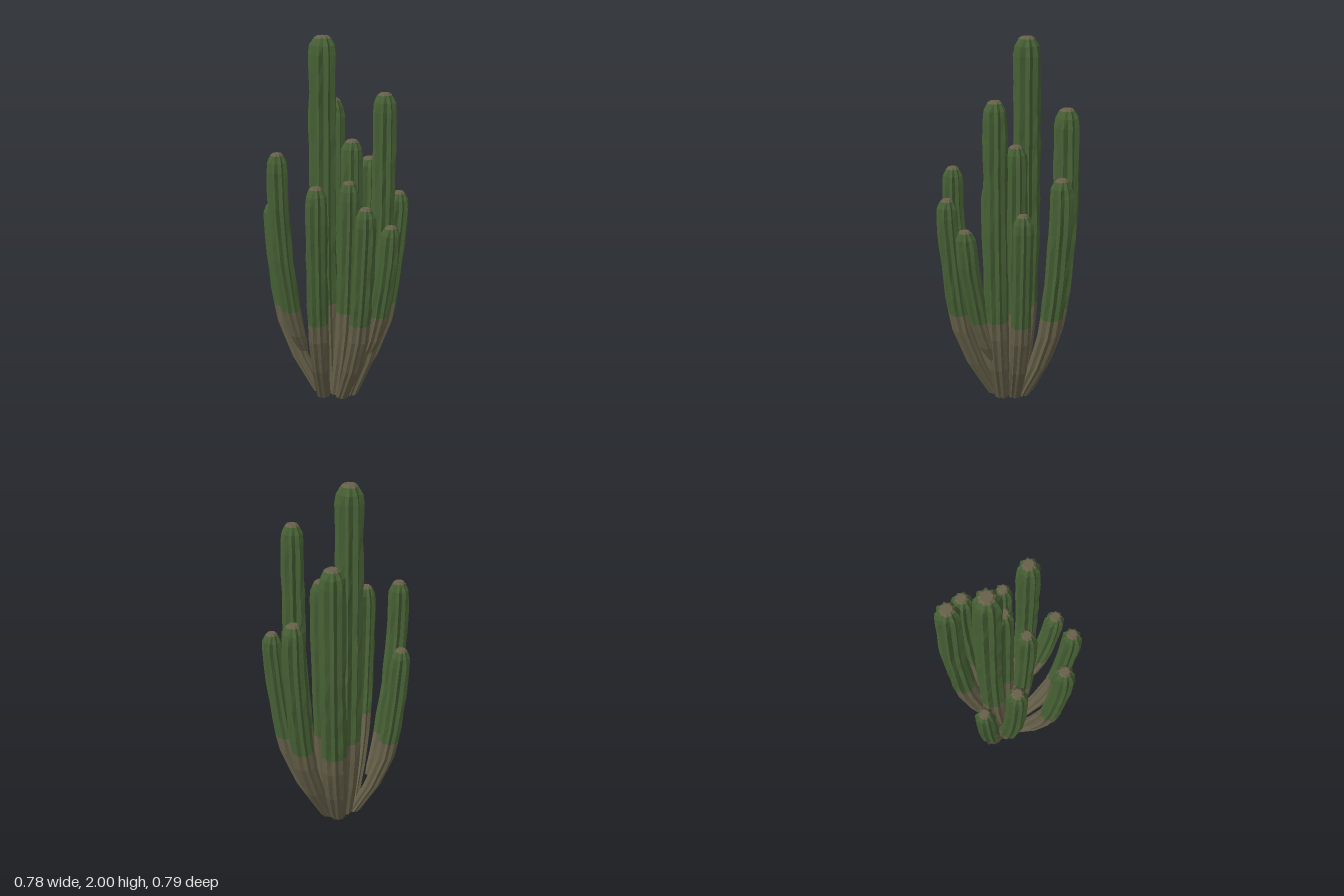
import * as THREE from 'three';

const RIBS = 9;
const SIDES = RIBS * 2;
const BARK_LINE = 0.51;

// piecewise-linear lookup in [[input, output], ...]
function lookup(table, v) {
  for (let i = 1; i < table.length; i++) {
    const [a, fa] = table[i - 1];
    const [b, fb] = table[i];
    if (v <= b) return fa + (fb - fa) * Math.max(0, (v - a) / (b - a));
  }
  return table[table.length - 1][1];
}

// how far a stem has swung outward, and how thick it is, at height y
const MAIN_SWING = [[0, 0], [0.2, 0.41], [0.4, 0.7], [0.57, 0.82], [0.8, 0.92], [1.05, 1]];
const BRANCH_SWING = [[0.25, 0], [0.35, 0.25], [0.5, 0.5], [0.8, 0.8], [1.1, 0.96], [1.3, 1]];
const MAIN_GIRTH = [[0, 0.62], [0.2, 0.86], [0.4, 0.97], [0.6, 1]];
const BRANCH_GIRTH = [[0.25, 0.45], [0.33, 0.78], [0.5, 0.93], [0.7, 1]];

// [x, z] at the ground, [x, z] at the tip, height, radius
const STEMS = [
  { name: 'tallStem', base: [-0.045, -0.03], tip: [-0.09, -0.065], height: 2.0, radius: 0.075 },
  { name: 'backRightStem', base: [-0.035, -0.09], tip: [-0.1, -0.29], height: 1.63, radius: 0.07 },
  { name: 'backLeftStem', base: [0.03, -0.09], tip: [0.105, -0.33], height: 1.3, radius: 0.064 },
  { name: 'leftBackStem', base: [0.075, -0.06], tip: [0.31, -0.19], height: 1.15, radius: 0.055 },
  { name: 'leftStem', base: [0.095, 0.01], tip: [0.265, -0.02], height: 1.72, radius: 0.064 },
  { name: 'frontLeftStem', base: [0.06, 0.07], tip: [0.24, 0.265], height: 1.17, radius: 0.057 },
  { name: 'frontStem', base: [-0.045, 0.085], tip: [-0.007, 0.335], height: 1.28, radius: 0.058 },
  { name: 'rightStem', base: [-0.09, 0.015], tip: [-0.348, 0.04], height: 1.09, radius: 0.055 },
  { name: 'innerBackStem', base: [0.03, -0.03], tip: [0.075, -0.065], height: 1.45, radius: 0.061 },
  { name: 'innerFrontStem', base: [0.015, 0.03], tip: [0.095, 0.065], height: 1.25, radius: 0.056 },
  { name: 'leftBranch', base: [0.19, 0.01], tip: [0.352, 0.13], height: 1.04, radius: 0.057, branch: true },
  { name: 'rightBranch', base: [-0.17, 0.05], tip: [-0.265, 0.19], height: 1.41, radius: 0.058, branch: true },
];

function seeded(seed) {
  let s = seed;
  return () => (s = (s * 16807) % 2147483647) / 2147483647;
}

// faceted skin through star-shaped rings, with optional end caps
function loft(rings, capBottom, capTop) {
  const pos = [];
  const tri = (a, b, c) => pos.push(...a, ...b, ...c);
  const centre = (ring) => [0, 1, 2].map((k) => ring.reduce((sum, p) => sum + p[k], 0) / SIDES);
  for (let i = 0; i + 1 < rings.length; i++) {
    for (let j = 0; j < SIDES; j++) {
      const n = (j + 1) % SIDES;
      const [a, b, c, d] = [rings[i][j], rings[i][n], rings[i + 1][n], rings[i + 1][j]];
      tri(a, b, c);
      tri(a, c, d);
    }
  }
  const first = rings[0];
  const last = rings[rings.length - 1];
  for (let j = 0; j < SIDES; j++) {
    const n = (j + 1) % SIDES;
    if (capBottom) tri(centre(first), first[n], first[j]);
    if (capTop) tri(centre(last), last[j], last[n]);
  }
  const geo = new THREE.BufferGeometry();
  geo.setAttribute('position', new THREE.Float32BufferAttribute(pos, 3));
  geo.computeVertexNormals();
  return geo;
}

function buildStem(stem, index, green, bark) {
  const rand = seeded(911 + index * 7919);
  const swing = stem.branch ? BRANCH_SWING : MAIN_SWING;
  const girth = stem.branch ? BRANCH_GIRTH : MAIN_GIRTH;
  const phase = rand() * Math.PI;

  // one ribbed ring; sharp ridges alternate with grooves
  const ring = (y, scale, groove, rough) => {
    const t = lookup(swing, y);
    const cx = stem.base[0] + (stem.tip[0] - stem.base[0]) * t;
    const cz = stem.base[1] + (stem.tip[1] - stem.base[1]) * t;
    const r = stem.radius * lookup(girth, y) * scale;
    return Array.from({ length: SIDES }, (_, j) => {
      const a = phase + (j / SIDES) * Math.PI * 2;
      const rr = r * (j % 2 ? groove : 1 + (rand() - 0.5) * rough);
      // angle runs from +z toward +x, so counter-clockwise seen from above
      return [cx + Math.sin(a) * rr, y, cz + Math.cos(a) * rr];
    });
  };

  const group = new THREE.Group();
  group.name = stem.name;
  const add = (name, geo, material) => {
    const mesh = new THREE.Mesh(geo, material);
    mesh.name = name;
    group.add(mesh);
  };

  // woody foot
  const start = stem.branch ? 0.25 : 0;
  const seam = ring(BARK_LINE, 1, 0.8, 0.05);
  const foot = [];
  for (let i = 0; i < 5; i++) {
    foot.push(ring(start + ((BARK_LINE - start) * i) / 5, 1, 0.82, 0.05));
  }
  add('woodyFoot', loft([...foot, seam], true, false), bark);

  // green body with a rounded shoulder
  const shoulder = stem.height - 0.1;
  const steps = Math.round((shoulder - BARK_LINE) / 0.1);
  const body = [seam];
  for (let i = 1; i <= steps; i++) {
    body.push(ring(BARK_LINE + ((shoulder - BARK_LINE) * i) / steps, 1, 0.78, 0.12));
  }
  body.push(ring(stem.height - 0.05, 0.92, 0.78, 0.1));
  const crown = ring(stem.height - 0.012, 0.62, 0.84, 0.1);
  body.push(crown);
  add('greenBody', loft(body, false, false), green);

  // dry tip
  add('dryTip', loft([crown, ring(stem.height, 0.42, 0.9, 0)], false, true), bark);
  return group;
}

export function createModel() {
  const green = new THREE.MeshStandardMaterial({ color: 0x486236 });
  green.name = 'cactus green';
  const bark = new THREE.MeshStandardMaterial({ color: 0x67614a });
  bark.name = 'woody brown';

  const model = new THREE.Group();
  model.name = 'columnCactus';
  STEMS.forEach((stem, i) => model.add(buildStem(stem, i, green, bark)));
  return model;
}
